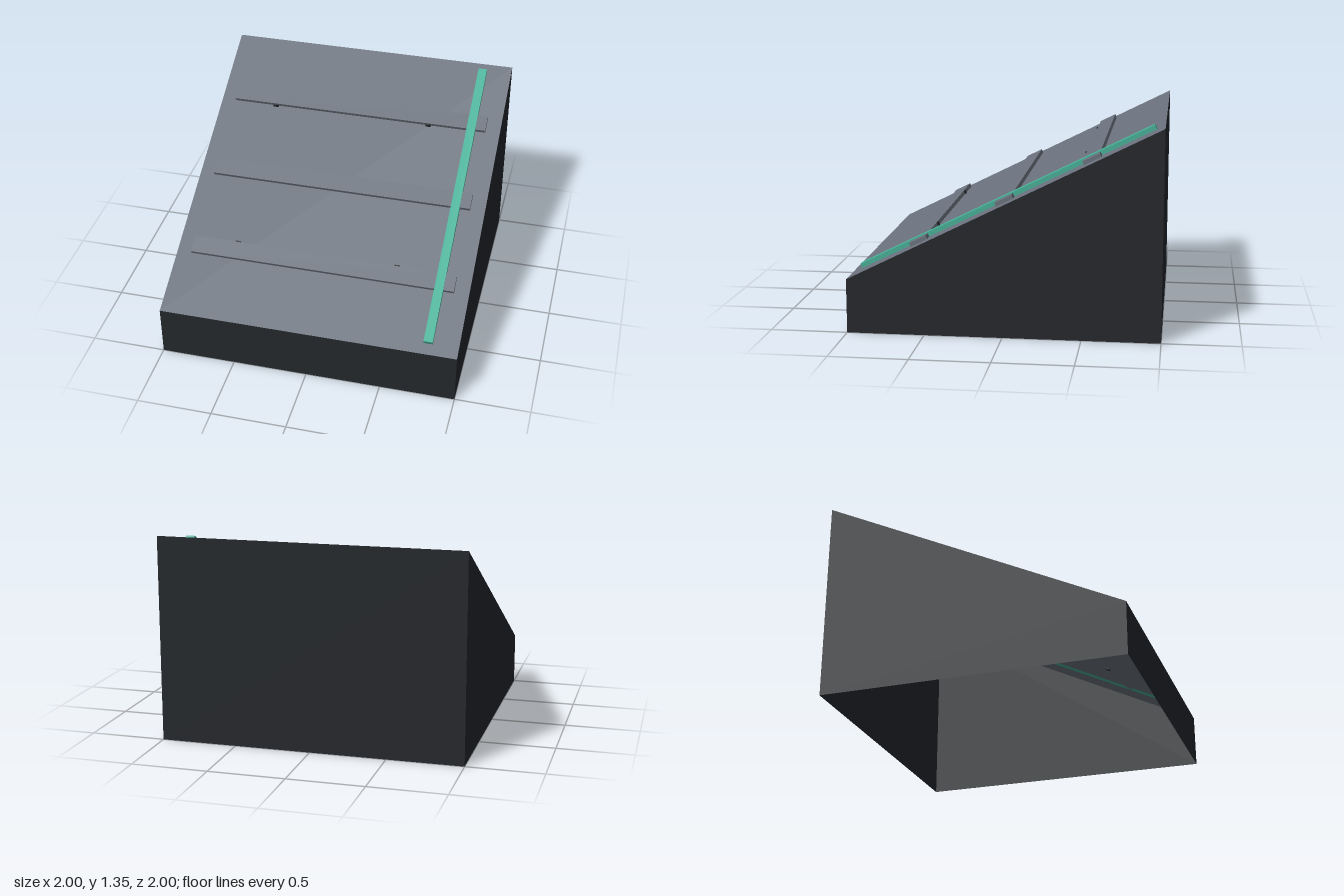
import * as THREE from 'three';

const FRONT_H = 0.35, BACK_H = 1.35;
const TILT = Math.atan2(BACK_H - FRONT_H, 2);

const material = (color, open = false) => new THREE.MeshStandardMaterial({
  color, side: open ? THREE.DoubleSide : THREE.FrontSide,
});

function addMesh(parent, name, geometry, mat) {
  const mesh = new THREE.Mesh(geometry, mat);
  mesh.name = name;
  parent.add(mesh);
  return mesh;
}

// Box lying on the sloped panel: z is the horizontal position, base the depth below the surface
function addOnSlope(panel, name, mat, [w, h, d], x, z, base = 0) {
  const mesh = addMesh(panel, name, new THREE.BoxGeometry(w, h, d), mat);
  const lift = h / 2 - base;
  mesh.position.set(x, lift, z / Math.cos(TILT) - lift * Math.tan(TILT));
  return mesh;
}

export function createModel() {
  const model = new THREE.Group();
  model.name = 'slopedStand';
  const wallMat = material(0x24272b, true);
  const panelMat = material(0x6b727d, true);
  const slatMat = material(0x6b727d);
  const pegMat = material(0x24272b);
  const stripMat = material(0x46b097);

  // Wedge shell, open underneath
  const front = addMesh(model, 'frontWall', new THREE.PlaneGeometry(2, FRONT_H), wallMat);
  front.position.set(0, FRONT_H / 2, 1);
  const back = addMesh(model, 'backWall', new THREE.PlaneGeometry(2, BACK_H), wallMat);
  back.position.set(0, BACK_H / 2, -1);
  back.rotation.y = Math.PI;

  for (const side of [1, -1]) {
    const profile = new THREE.Shape([
      new THREE.Vector2(-side, 0),
      new THREE.Vector2(side, 0),
      new THREE.Vector2(side, BACK_H),
      new THREE.Vector2(-side, FRONT_H),
    ]);
    const wall = addMesh(model, side > 0 ? 'leftWall' : 'rightWall',
      new THREE.ShapeGeometry(profile), wallMat);
    wall.position.x = side;
    wall.rotation.y = side * Math.PI / 2;
  }

  // Sloped panel group: local y is the surface normal, local z runs downhill
  const panel = new THREE.Group();
  panel.name = 'slopedPanel';
  panel.position.y = (FRONT_H + BACK_H) / 2;
  panel.rotation.x = TILT;
  model.add(panel);
  addMesh(panel, 'panelSurface',
    new THREE.PlaneGeometry(2, 2 / Math.cos(TILT)).rotateX(-Math.PI / 2), panelMat);

  // Three cross slats
  for (const z of [-0.55, 0, 0.55]) {
    addOnSlope(panel, 'slat', slatMat, [1.8, 0.025, 0.12], 0, z);
  }

  // Small pegs on the inner edges of the outer slats
  for (const z of [-0.5, 0.5]) {
    for (const x of [-0.6, 0.5]) {
      addOnSlope(panel, 'peg', pegMat, [0.035, 0.029, 0.03], x, z, 0.005);
    }
  }

  // Long coloured strip running down the slope
  addOnSlope(panel, 'strip', stripMat, [0.06, 0.03, 2.1], 0.8, 0);

  return model;
}
